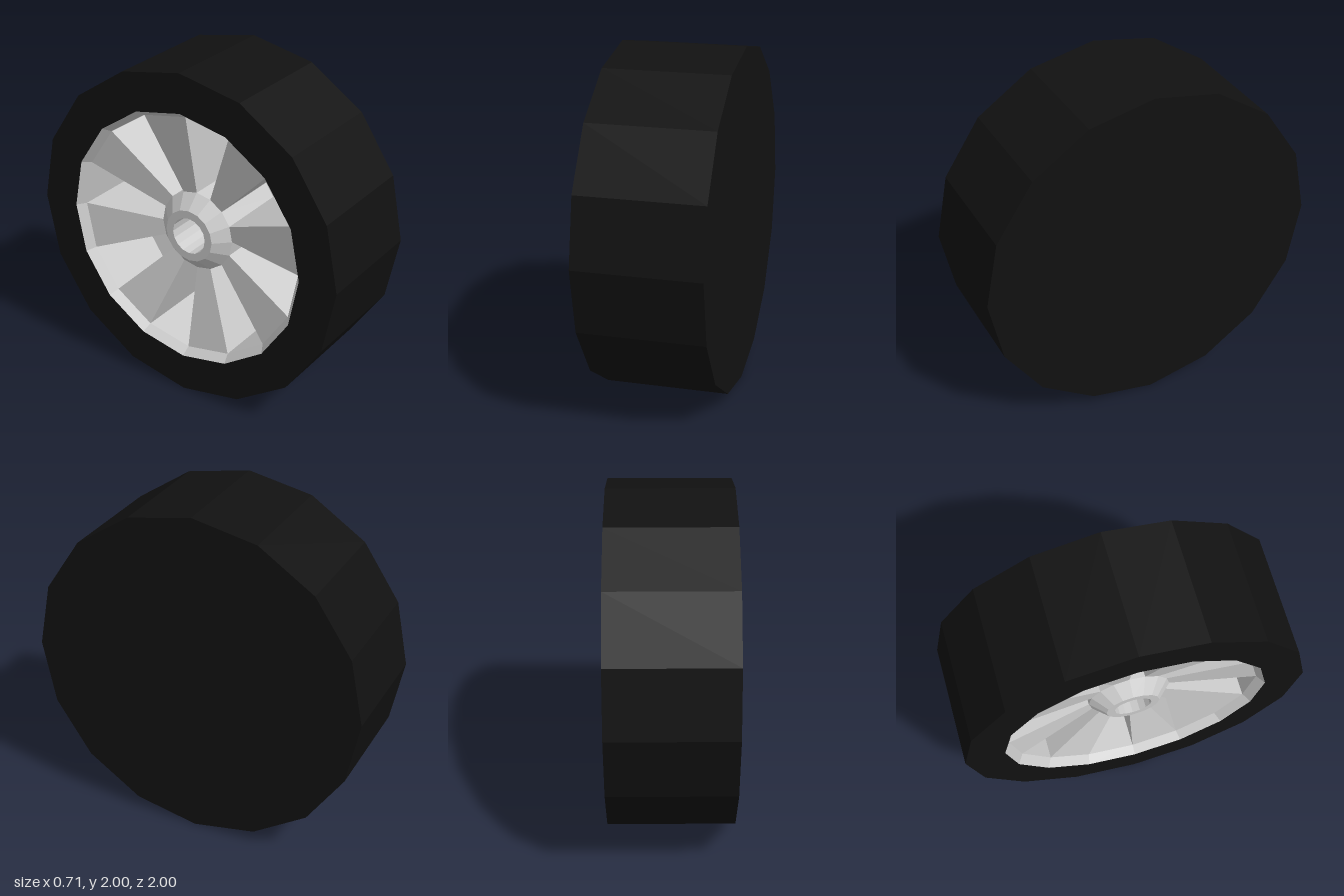
import * as THREE from 'three';

const SIDES = 16;
const HALF_WIDTH = 0.355;

// Point on the wheel: profile [radius, depth inward from the open face at -x], at step k round the axle
function point([r, d], k) {
  const a = (k * 2 * Math.PI) / SIDES;
  return [d - HALF_WIDTH, 1 + r * Math.sin(a), r * Math.cos(a)];
}

function quad(out, a, b, c, d) {
  out.push(...a, ...b, ...c, ...a, ...c, ...d);
}

// One sector of a profile turned about the axle
function sector(out, profile, k) {
  for (let i = 0; i + 1 < profile.length; i++) {
    const [p, q] = [profile[i], profile[i + 1]];
    quad(out, point(p, k), point(p, k + 1), point(q, k + 1), point(q, k));
  }
}

function ring(out, profile) {
  for (let k = 0; k < SIDES; k++) sector(out, profile, k);
}

function makeMesh(name, positions, color) {
  const geometry = new THREE.BufferGeometry();
  geometry.setAttribute('position', new THREE.Float32BufferAttribute(positions, 3));
  geometry.computeVertexNormals();
  const material = new THREE.MeshStandardMaterial({ color, flatShading: true });
  const mesh = new THREE.Mesh(geometry, material);
  mesh.name = name;
  return mesh;
}

export function createModel() {
  const wheel = new THREE.Group();
  wheel.name = 'wheel';

  // Tyre: closed inner side, tread and open-side wall
  const back = 2 * HALF_WIDTH;
  const tyre = [];
  ring(tyre, [[0, back], [1, back], [1, 0], [0.77, 0]]);
  wheel.add(makeMesh('tyre', tyre, 0x111111));

  // Bevelled rim lip
  const spokeOuter = [0.733, 0.053];
  const spokeInner = [0.24, 0.15];
  const rim = [];
  ring(rim, [[0.77, 0], spokeOuter]);
  wheel.add(makeMesh('rimLip', rim, 0xcccccc));

  // Eight spokes alternating with eight deep wedge-shaped pockets
  const pocketDepth = 0.45;
  const deepOuter = [spokeOuter[0], spokeOuter[1] + pocketDepth];
  const deepInner = [spokeInner[0], spokeInner[1] + pocketDepth];
  const spokes = [];
  const pockets = [];
  for (let k = 0; k < SIDES; k += 2) {
    sector(spokes, [spokeOuter, spokeInner], k);
    const start = k + 1;
    const end = k + 2;
    sector(pockets, [spokeOuter, deepOuter, deepInner, spokeInner], start);
    quad(pockets, point(spokeOuter, start), point(deepOuter, start), point(deepInner, start), point(spokeInner, start));
    quad(pockets, point(spokeOuter, end), point(spokeInner, end), point(deepInner, end), point(deepOuter, end));
  }
  wheel.add(makeMesh('spokes', spokes, 0xcccccc));
  wheel.add(makeMesh('spokePockets', pockets, 0xcccccc));

  // Tapered hub with a blind axle hole
  const hub = [];
  ring(hub, [spokeInner, [0.157, 0.07], [0.11, 0.07], [0.11, 0.3], [0, 0.3]]);
  wheel.add(makeMesh('hub', hub, 0xcccccc));

  return wheel;
}
